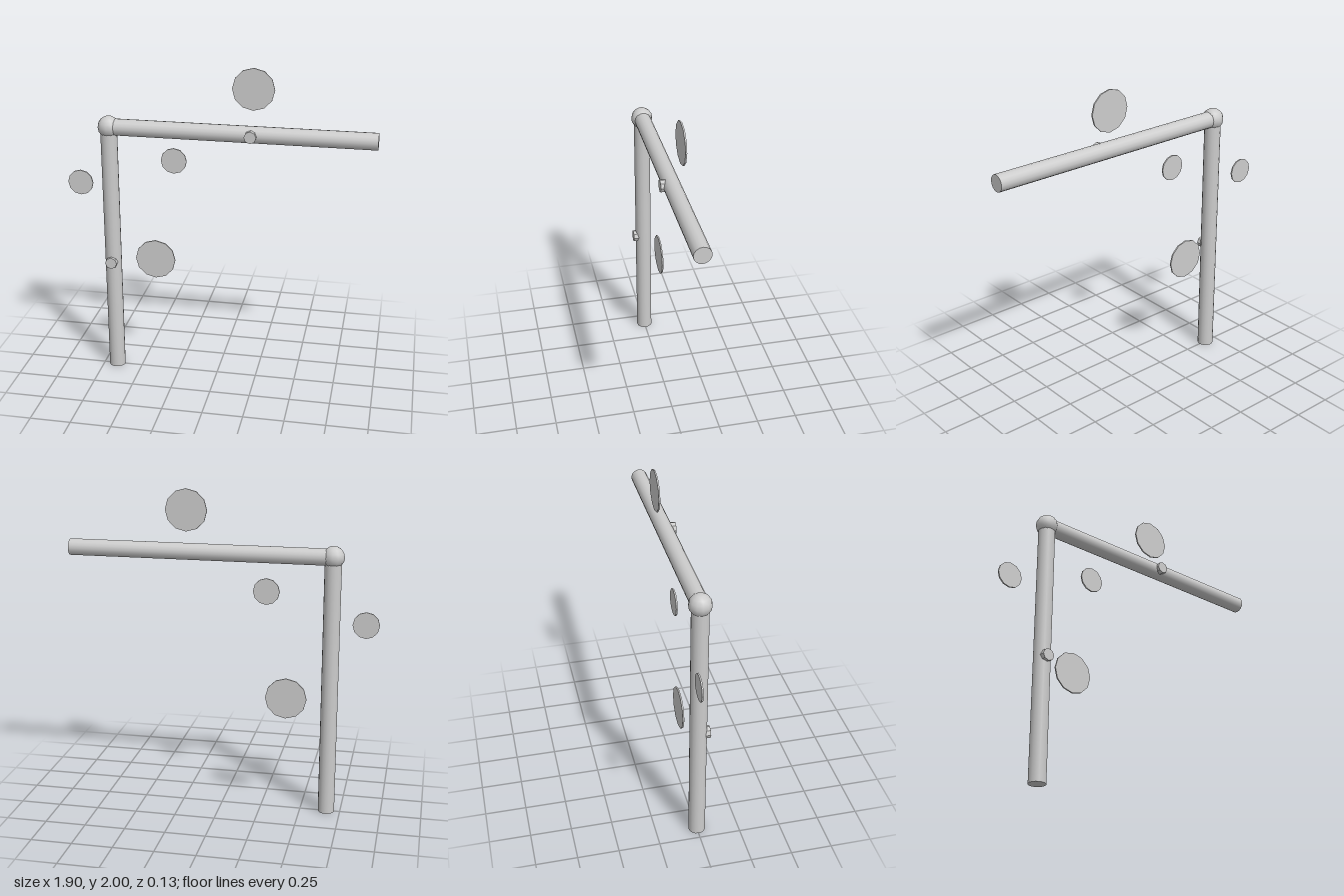
import * as THREE from 'three';

export function createModel() {
  const model = new THREE.Group();
  model.name = 'pipeFrame';
  const grey = new THREE.MeshStandardMaterial({ color: 0xcccccc });
  grey.name = 'lightGrey';
  const greyFlat = new THREE.MeshStandardMaterial({ color: 0xcccccc, flatShading: true });
  greyFlat.name = 'lightGreyFaceted';

  const cornerX = -0.664, cornerY = 1.615, pipeRadius = 0.051, endX = 0.947;

  const add = (name, geometry, material, x, y, z) => {
    const mesh = new THREE.Mesh(geometry, material);
    mesh.name = name;
    mesh.position.set(x, y, z);
    model.add(mesh);
    return mesh;
  };
  // Cylinder whose axis runs front to back
  const facing = (radius, depth, sides) =>
    new THREE.CylinderGeometry(radius, radius, depth, sides).rotateX(Math.PI / 2);
  const pipe = (length) => new THREE.CylinderGeometry(pipeRadius, pipeRadius, length, 16);

  // Upright and crossbar meeting at a ball joint
  add('uprightPipe', pipe(cornerY), grey, cornerX, cornerY / 2, 0);
  const barLength = endX - cornerX;
  add('crossbarPipe', pipe(barLength).rotateZ(-Math.PI / 2), grey, cornerX + barLength / 2, cornerY, 0);
  add('cornerJoint', new THREE.SphereGeometry(0.067, 12, 8), grey, cornerX, cornerY, 0);

  // Small knobs on the front of each pipe
  add('uprightKnob', facing(0.037, 0.04, 8), greyFlat, cornerX, 0.743, 0.048);
  add('crossbarKnob', facing(0.037, 0.04, 8), greyFlat, 0.206, cornerY, 0.048);

  // Thin discs set just behind the pipes: x, y, radius
  const discs = [
    ['upperLargeDisc', 0.206, 1.873, 0.127],
    ['lowerLargeDisc', -0.405, 0.743, 0.127],
    ['innerSmallDisc', -0.278, 1.404, 0.08],
    ['outerSmallDisc', -0.873, 1.228, 0.08],
  ];
  for (const [name, x, y, radius] of discs) {
    add(name, facing(radius, 0.009, 12), greyFlat, x, y, -0.054);
  }
  return model;
}
